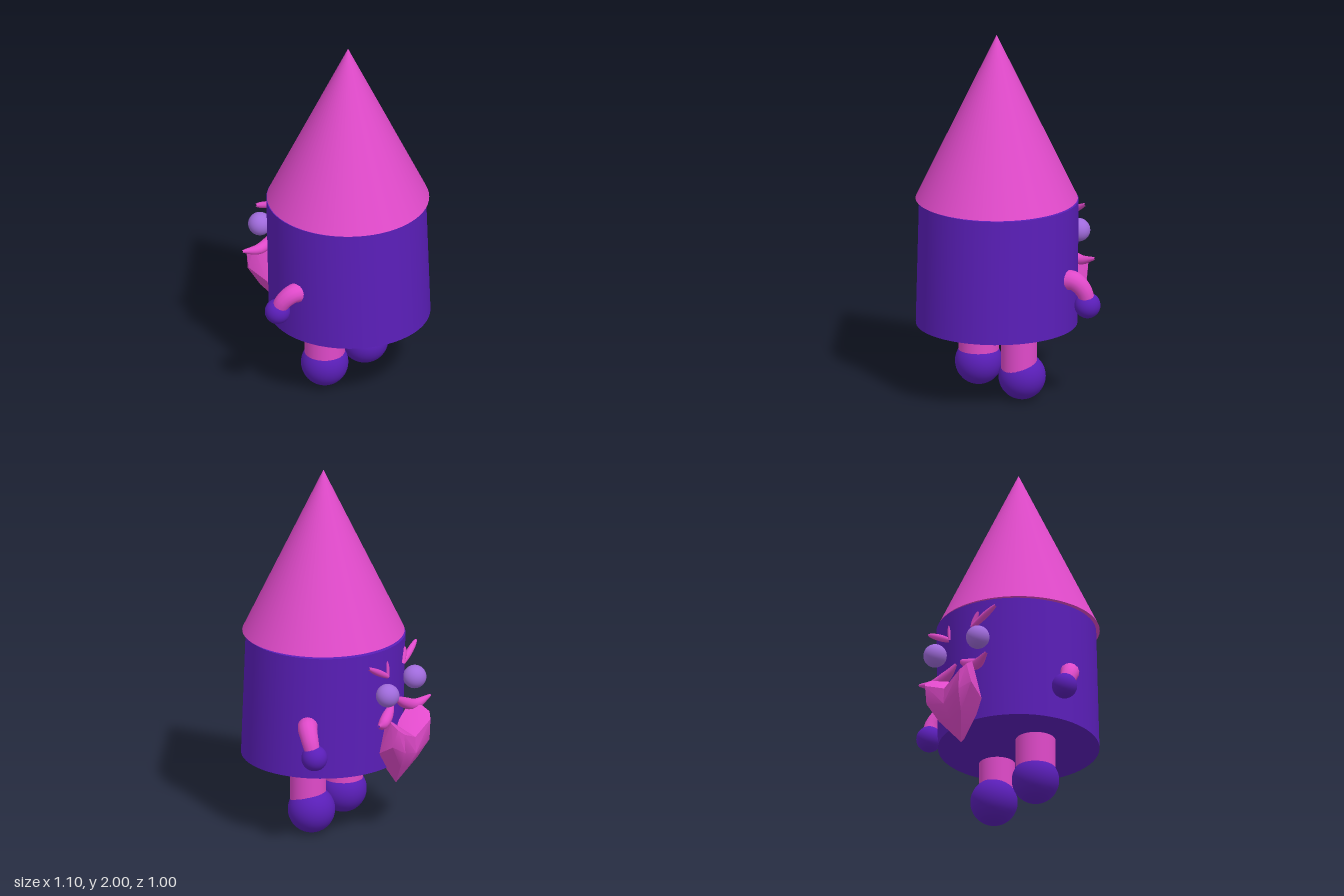
import * as THREE from 'three';
import { toCreasedNormals } from 'three/addons/utils/BufferGeometryUtils.js';
import { ConvexGeometry } from 'three/addons/geometries/ConvexGeometry.js';

const V = (p) => new THREE.Vector3(...p);
const pink = new THREE.MeshStandardMaterial({ color: 0xe04aca });
const purple = new THREE.MeshStandardMaterial({ color: 0x5a1eb8 });
const lilac = new THREE.MeshStandardMaterial({ color: 0xa06bdc });

// Tube along a curve whose radius follows radiusAt(t), t from 0 to 1
function taperedTube(points, radiusAt, steps = 24, sides = 14) {
  const curve = new THREE.CatmullRomCurve3(points.map(V));
  const geo = new THREE.TubeGeometry(curve, steps, 1, sides);
  const pos = geo.attributes.position;
  const p = new THREE.Vector3();
  for (let i = 0; i <= steps; i++) {
    const c = curve.getPointAt(i / steps);
    for (let j = 0; j <= sides; j++) {
      const k = i * (sides + 1) + j;
      p.fromBufferAttribute(pos, k).sub(c).multiplyScalar(radiusAt(i / steps)).add(c);
      pos.setXYZ(k, p.x, p.y, p.z);
    }
  }
  return geo;
}

export function createModel() {
  const model = new THREE.Group();
  const add = (name, geo, mat, at = [0, 0, 0]) => {
    const mesh = new THREE.Mesh(geo, mat);
    mesh.name = name;
    mesh.position.set(...at);
    model.add(mesh);
    return mesh;
  };
  const ball = (name, r, mat, at) => add(name, new THREE.SphereGeometry(r, 32, 20), mat, at);

  // Pointed hat
  add('hat', new THREE.ConeGeometry(0.434, 0.91, 64), pink, [0, 1.545, 0.065]);

  // Barrel body, leaning slightly back toward the face
  const body = new THREE.CylinderGeometry(0.427, 0.432, 0.68, 64);
  body.applyMatrix4(new THREE.Matrix4().set(
    1, -0.006, 0, 0,
    0, 1, 0, 0,
    0, -0.03, 1, 0,
    0, 0, 0, 1));
  add('body', body, purple, [0.004, 0.74, 0.061]);

  // Legs and round feet
  const legs = [
    { side: 'right', x: -0.167, z: 0.04, r: 0.108, top: 0.375, footY: 0.14 },
    { side: 'left', x: 0.172, z: 0.062, r: 0.097, top: 0.36, footY: 0.13 },
  ];
  for (const { side, x, z, r, top, footY } of legs) {
    const h = top - 0.17;
    add(side + 'Leg', new THREE.CylinderGeometry(r, r, h, 32), pink, [x, 0.17 + h / 2, z]);
    ball(side + 'Foot', 0.127, purple, [x, footY, 0.04]);
  }

  // Bent arms and round hands
  const armRadius = (t) => 0.058 * Math.sqrt(Math.min(1, t * 6)) * (1 - 0.35 * t);
  add('leftArm', taperedTube([[0.38, 0.69, -0.06], [0.44, 0.69, -0.09], [0.475, 0.64, -0.125], [0.485, 0.55, -0.155]], armRadius), pink);
  ball('leftHand', 0.07, purple, [0.477, 0.55, -0.153]);
  add('rightArm', taperedTube([[-0.38, 0.68, 0.07], [-0.44, 0.68, 0.045], [-0.475, 0.64, 0.01], [-0.487, 0.56, -0.03]], armRadius), pink);
  ball('rightHand', 0.068, purple, [-0.483, 0.565, -0.028]);

  // Eyes
  ball('leftEye', 0.063, lilac, [0.135, 0.843, -0.408]);
  ball('rightEye', 0.063, lilac, [-0.19, 0.845, -0.388]);

  // Angry brows: a long outer stroke and a short inner stroke
  const taper = (r) => (t) => r * (0.15 + 0.85 * Math.sqrt(Math.sin(Math.PI * (0.08 + 0.9 * t))));
  const brows = [
    { side: 'left', corner: [0.06, 0.92, -0.365], outer: [0.245, 1.02, -0.355], inner: [0.07, 1.02, -0.36] },
    { side: 'right', corner: [-0.11, 0.94, -0.36], outer: [-0.283, 1.015, -0.342], inner: [-0.15, 1.02, -0.35] },
  ];
  for (const { side, corner, outer, inner } of brows) {
    add(side + 'BrowOuter', taperedTube([corner, outer], taper(0.018)), pink);
    add(side + 'BrowInner', taperedTube([corner, inner], taper(0.014)), pink);
  }

  // Moustache: two curled strands, thick in the middle
  const strand = (t) => 0.004 + 0.027 * Math.sin(Math.PI * Math.min(1, 0.12 + 0.85 * t));
  add('leftMoustache', taperedTube([[0.01, 0.76, -0.36], [0.07, 0.715, -0.375], [0.16, 0.685, -0.395], [0.25, 0.705, -0.42]], strand), pink);
  add('rightMoustache', taperedTube([[-0.03, 0.765, -0.36], [-0.1, 0.725, -0.37], [-0.19, 0.69, -0.39], [-0.3, 0.71, -0.42]], strand), pink);

  // Beard: two faceted halves with raised corners, meeting in one point
  const beardX = -0.028;
  for (const [side, s] of [['left', 1], ['right', -1]]) {
    const half = [
      [0, 0.59, -0.35], [0, 0.57, -0.485], [0, 0.48, -0.49],
      [0.11, 0.69, -0.37], [0.165, 0.69, -0.43], [0.17, 0.66, -0.475],
      [0.14, 0.63, -0.498], [0.13, 0.52, -0.498], [0.18, 0.56, -0.45],
      [0.15, 0.5, -0.35], [0.09, 0.42, -0.445], [0.1, 0.42, -0.345],
      [0, 0.4, -0.445], [0, 0.29, -0.365], [0, 0.32, -0.34],
    ].map(([x, y, z]) => V([beardX + s * x, y, z]));
    add(side + 'Beard', toCreasedNormals(new ConvexGeometry(half), 0.6), pink);
  }

  return model;
}
